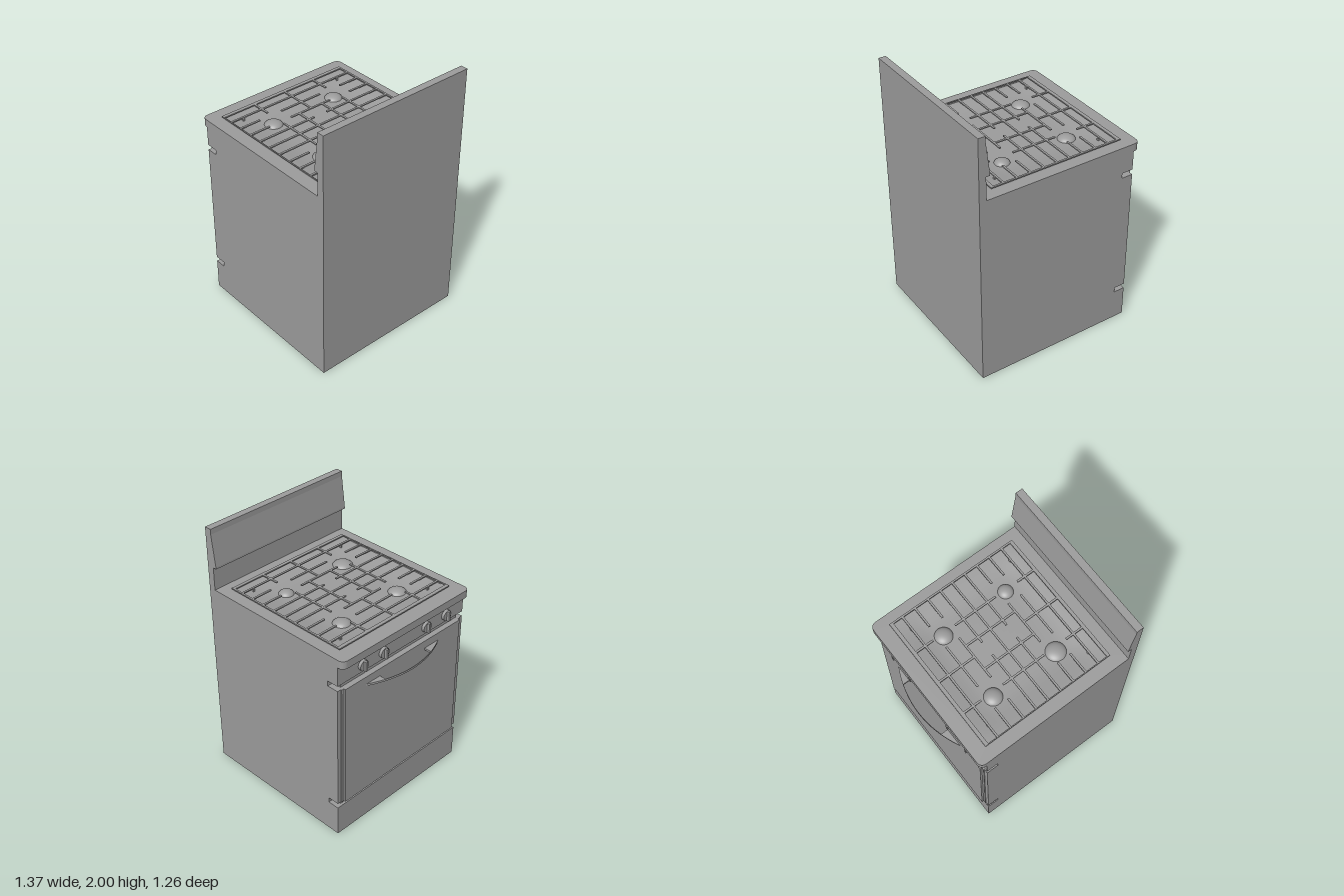
import * as THREE from 'three';

const mat = new THREE.MeshStandardMaterial({ color: 0x9d9d9d, side: THREE.DoubleSide });

export function createModel() {
  const model = new THREE.Group();
  model.name = 'stove';

  const add = (name, geo, parent = model) => {
    const m = new THREE.Mesh(geo, mat);
    m.name = name;
    parent.add(m);
    return m;
  };
  // Box given by its limits on each axis
  const box = (name, x0, x1, y0, y1, z0, z1, parent = model) =>
    add(name, new THREE.BoxGeometry(x1 - x0, y1 - y0, z1 - z0)
      .translate((x0 + x1) / 2, (y0 + y1) / 2, (z0 + z1) / 2), parent);
  const group = (name) => {
    const g = new THREE.Group();
    g.name = name;
    model.add(g);
    return g;
  };
  const points = (pts) => pts.map(([x, y]) => new THREE.Vector2(x, y));
  const polygon = (pts) => new THREE.Shape(points(pts));
  const extrude = (shape, depth) =>
    new THREE.ExtrudeGeometry(shape, { depth, bevelEnabled: false, curveSegments: 8 });

  const F = -0.575, B = 0.685, W = 0.632, T = 0.004;
  const gaps = [[0.245, 0.285], [1.27, 1.31]];

  // Side walls, notched at the front for the hinge pockets
  const outline = [[F, 0]];
  for (const [a, b] of gaps) outline.push([F, a], [-0.485, a], [-0.485, b], [F, b]);
  outline.push([F, 1.47], [B, 1.47], [B, 0]);
  for (const s of [-1, 1]) {
    const wall = add('sideWall', extrude(polygon(outline), T));
    wall.position.z = s > 0 ? W - T : -W;
    const zi = s * (W - 0.05);
    const z0 = Math.min(s * W, zi), z1 = Math.max(s * W, zi);
    for (const [a, b] of gaps) {
      box('hingePocketBack', -0.555, -0.485, a, b, zi - 0.003, zi + 0.003);
      box('hingePocketEnd', -0.485, -0.48, a, b, z0, z1);
      box('hingePocketFloor', F, -0.485, a - 0.004, a, z0, z1);
      box('hingePocketTop', F, -0.485, b, b + 0.004, z0, z1);
    }
  }

  // Front panels with open channels between them
  box('drawerFront', F, -0.565, 0, 0.245, -W, W);
  box('doorFrame', F, -0.565, 0.285, 1.27, -W, W);
  box('controlPanel', F, -0.565, 1.31, 1.47, -W, W);
  for (const [a, b] of gaps) {
    box('channelBack', -0.555, -0.55, a, b, -W + 0.05, W - 0.05);
    for (const y of [a - 0.002, b + 0.002])
      box('channelLedge', F, -0.55, y - 0.002, y + 0.002, -W + 0.05, W - 0.05);
  }

  // Door: slab with a slightly narrower raised face
  box('doorSlab', -0.582, F, 0.285, 1.27, -0.6, 0.6);
  box('doorFace', -0.597, -0.582, 0.285, 1.27, -0.58, 0.58);

  // Oven cavity seen through the open underside
  box('ovenCavity', -0.53, 0.55, 0.36, 1.2, -0.43, 0.43);

  // Back panel and splashback with its sloping front
  box('backPanel', 0.63, B, 1.52, 2, -W, W);
  box('backWall', B - T, B, 0, 1.52, -W, W);
  const hood = add('splashbackHood',
    extrude(polygon([[0.63, 1.7], [0.6, 1.7], [0.6, 1.715], [0.635, 2], [0.64, 2]]), 2 * W));
  hood.position.z = -W;

  // Cooktop: plate with rounded front corners and an opening for the dish
  const plate = new THREE.Shape();
  const L = -0.625, R = 0.05;
  plate.moveTo(B, -W);
  plate.lineTo(B, W);
  plate.lineTo(L + R, W);
  plate.quadraticCurveTo(L, W, L, W - R);
  plate.lineTo(L, -W + R);
  plate.quadraticCurveTo(L, -W, L + R, -W);
  plate.closePath();
  const X0 = -0.516, X1 = 0.543, Z0 = -0.552, Z1 = 0.539;
  plate.holes.push(new THREE.Path(points([[X0, Z0], [X0, Z1], [X1, Z1], [X1, Z0]])));
  add('cooktop', extrude(plate, 0.06).rotateX(Math.PI / 2)).position.y = 1.52;

  // Dish: a grid pressed down gently away from its rim
  const dish = new THREE.PlaneGeometry(X1 - X0, Z1 - Z0, 32, 32).rotateX(-Math.PI / 2);
  dish.translate((X0 + X1) / 2, 1.52, (Z0 + Z1) / 2);
  const p = dish.attributes.position;
  for (let i = 0; i < p.count; i++) {
    const x = p.getX(i), z = p.getZ(i);
    const ease = (d) => THREE.MathUtils.smoothstep(d, -0.05, 0.22);
    const dip = ease(Math.min(x - X0, X1 - x)) * ease(Math.min(z - Z0, Z1 - z));
    p.setY(i, 1.52 - 0.03 * dip);
  }
  dish.computeVertexNormals();
  add('cooktopDish', dish);

  // Burners
  for (const [x, z, r] of [[-0.261, -0.274, 0.068], [0.279, -0.28, 0.058],
    [-0.258, 0.283, 0.069], [0.279, 0.283, 0.077]]) {
    add('burner', new THREE.SphereGeometry(r, 32, 12, 0, Math.PI * 2, 0, Math.PI / 2)
      .scale(1, 0.04 / r, 1)).position.set(x, 1.48, z);
  }

  // Grate: outer frame, bars and feet
  const grate = group('grate');
  const g0 = 1.531, g1 = 1.54, h = 0.0075;
  const frame = polygon([[X0, Z0], [X1, Z0], [X1, Z1], [X0, Z1]]);
  frame.holes.push(new THREE.Path(
    points([[-0.489, -0.538], [-0.489, 0.532], [0.518, 0.532], [0.518, -0.538]])));
  add('grateFrame', extrude(frame, g1 - g0).rotateX(Math.PI / 2), grate).position.y = g1;
  const full = [[-0.542, 0.534]];
  const around = [[-0.542, -0.372], [-0.182, 0.175], [0.365, 0.534]];
  const centre = [[-0.542, -0.062], [0.053, 0.534]];
  const lengthwise = [[-0.412, full], [-0.305, around], [-0.195, around], [-0.089, centre],
    [0.013, full], [0.12, centre], [0.228, around], [0.335, around], [0.443, full]];
  for (const [x, spans] of lengthwise)
    for (const [a, b] of spans) box('grateBar', x - h, x + h, g0, g1, a, b, grate);
  const outer = [[-0.497, -0.347], [-0.162, 0.188], [0.378, 0.523]];
  const middle = [[-0.195, 0.225]];
  const crosswise = [[-0.275, outer], [0.266, outer], [-0.107, middle], [0.103, middle],
    [-0.009, [[-0.497, -0.195], [0.225, 0.523]]]];
  for (const [z, spans] of crosswise)
    for (const [a, b] of spans) box('grateBar', a, b, g0, g1, z - h, z + h, grate);
  for (const x of [-0.412, 0.443])
    for (const z of [-0.44, 0.43]) box('grateFoot', x - h, x + h, 1.49, g0, z - h, z + h, grate);

  // Control knobs: disc with a raised grip
  for (const z of [-0.4, -0.2, 0.23, 0.44]) {
    const knob = group('knob');
    add('knobDisc', new THREE.CylinderGeometry(0.04, 0.04, 0.022, 24).rotateZ(Math.PI / 2), knob)
      .position.x = -0.011;
    box('knobGrip', -0.042, -0.02, -0.038, 0.038, -0.009, 0.009, knob);
    knob.position.set(F, 1.37, z);
  }

  // Bowed door handle: thin in the middle, solid wedges at the ends
  const bow = (z) => -0.688 + 0.677 * (z + 0.015) ** 2;
  const arc = [], n = 24, z0 = -0.385, z1 = 0.355;
  for (let i = 0; i <= n; i++) {
    const z = z0 + ((z1 - z0) * i) / n;
    arc.push([bow(z), z]);
  }
  const inner = [[-0.595, 0.205]];
  for (let i = 0; i <= 12; i++) {
    const z = 0.205 - (0.455 * i) / 12;
    inner.push([bow(z) + 0.004, z]);
  }
  inner.push([-0.595, -0.25]);
  add('doorHandle', extrude(polygon([...arc, ...inner]), 0.016).rotateX(Math.PI / 2))
    .position.y = 1.21;

  return model;
}
